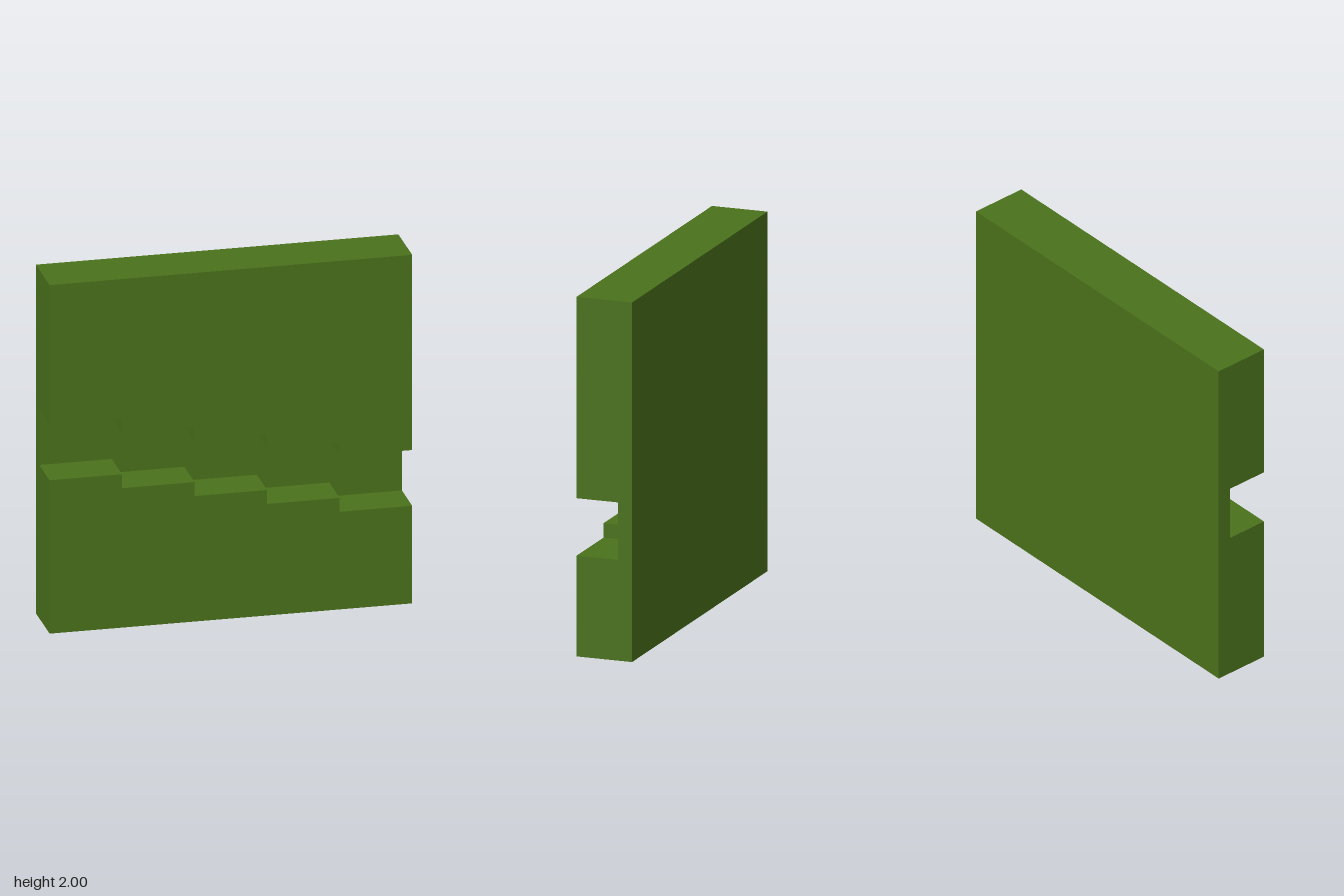
import * as THREE from 'three';

const STEPS = 5;
const RUN = 0.4;      // width of one step
const DROP = 0.08;    // height lost at each step
const BACK = -0.16, GROOVE = -0.08, FRONT = 0.16;

// Corner points of a staircase descending from left (-x) to right (+x)
function stairs(top) {
  const points = [];
  for (let i = 0; i < STEPS; i++) {
    const x = -1 + i * RUN, y = top - i * DROP;
    points.push(new THREE.Vector2(x, y), new THREE.Vector2(x + RUN, y));
  }
  return points;
}

export function createModel() {
  const group = new THREE.Group();
  group.name = 'steppedGrooveWall';
  const material = new THREE.MeshStandardMaterial({ color: 0x4a711b, flatShading: true });

  function add(name, geometry, z) {
    const mesh = new THREE.Mesh(geometry, material);
    mesh.name = name;
    mesh.position.z = z;
    group.add(mesh);
  }

  // Front slab: a staircase edge closed off by a straight edge at height y
  function slab(name, top, y) {
    const outline = [...stairs(top), new THREE.Vector2(1, y), new THREE.Vector2(-1, y)];
    const geometry = new THREE.ExtrudeGeometry(new THREE.Shape(outline), {
      depth: FRONT - GROOVE, bevelEnabled: false,
    });
    add(name, geometry, GROOVE);
  }

  // Back panel, which forms the floor of the groove
  const panel = new THREE.BoxGeometry(2, 2, GROOVE - BACK).translate(0, 1, 0);
  add('backPanel', panel, (BACK + GROOVE) / 2);

  // Slabs below and above the stepped groove
  slab('lowerSlab', 0.88, 0);
  slab('upperSlab', 1.2, 2);

  return group;
}
